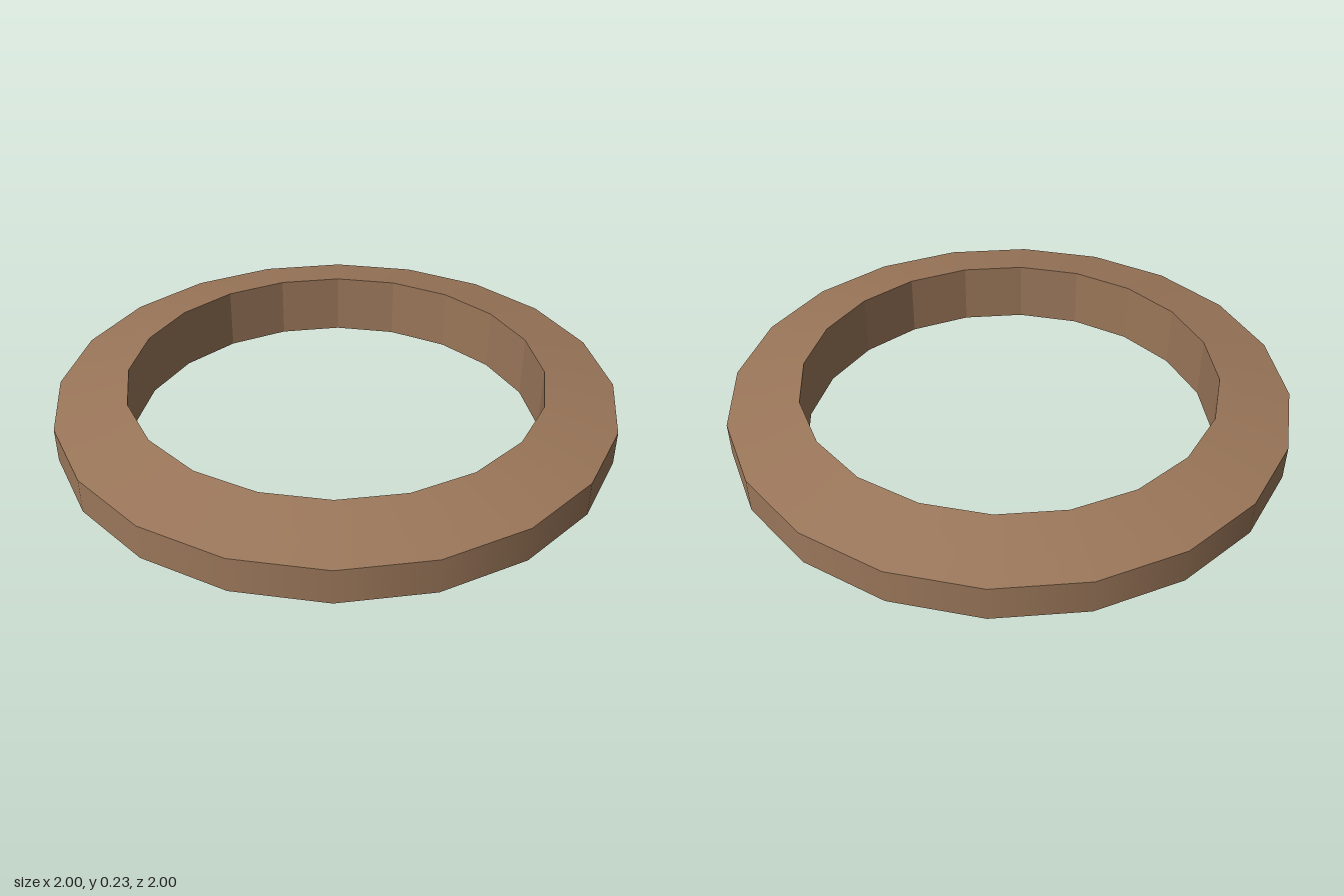
import * as THREE from 'three';

const SIDES = 20;

// Ring cross-section as [radius, height], counter-clockwise
const LOWER_RIM = [1, 0.055];
const UPPER_RIM = [1, 0.18];
const INNER_TOP = [0.747, 0.233];
const INNER_BOTTOM = [0.747, 0];

// One band of the ring, swept between two corners of the cross-section
function band(name, from, to, flatShading = false) {
  const points = [from, to].map(([r, y]) => new THREE.Vector2(r, y));
  const geometry = new THREE.LatheGeometry(points, SIDES);
  const material = new THREE.MeshStandardMaterial({ color: 0x9a7659, flatShading });
  const mesh = new THREE.Mesh(flatShading ? geometry.toNonIndexed() : geometry, material);
  if (flatShading) mesh.geometry.computeVertexNormals();
  mesh.name = name;
  return mesh;
}

export function createModel() {
  const ring = new THREE.Group();
  ring.name = 'ring';
  ring.add(
    band('outerWall', LOWER_RIM, UPPER_RIM),
    band('topSlope', UPPER_RIM, INNER_TOP),
    band('innerWall', INNER_TOP, INNER_BOTTOM, true), // faceted inside
    band('bottomSlope', INNER_BOTTOM, LOWER_RIM),
  );
  return ring;
}
